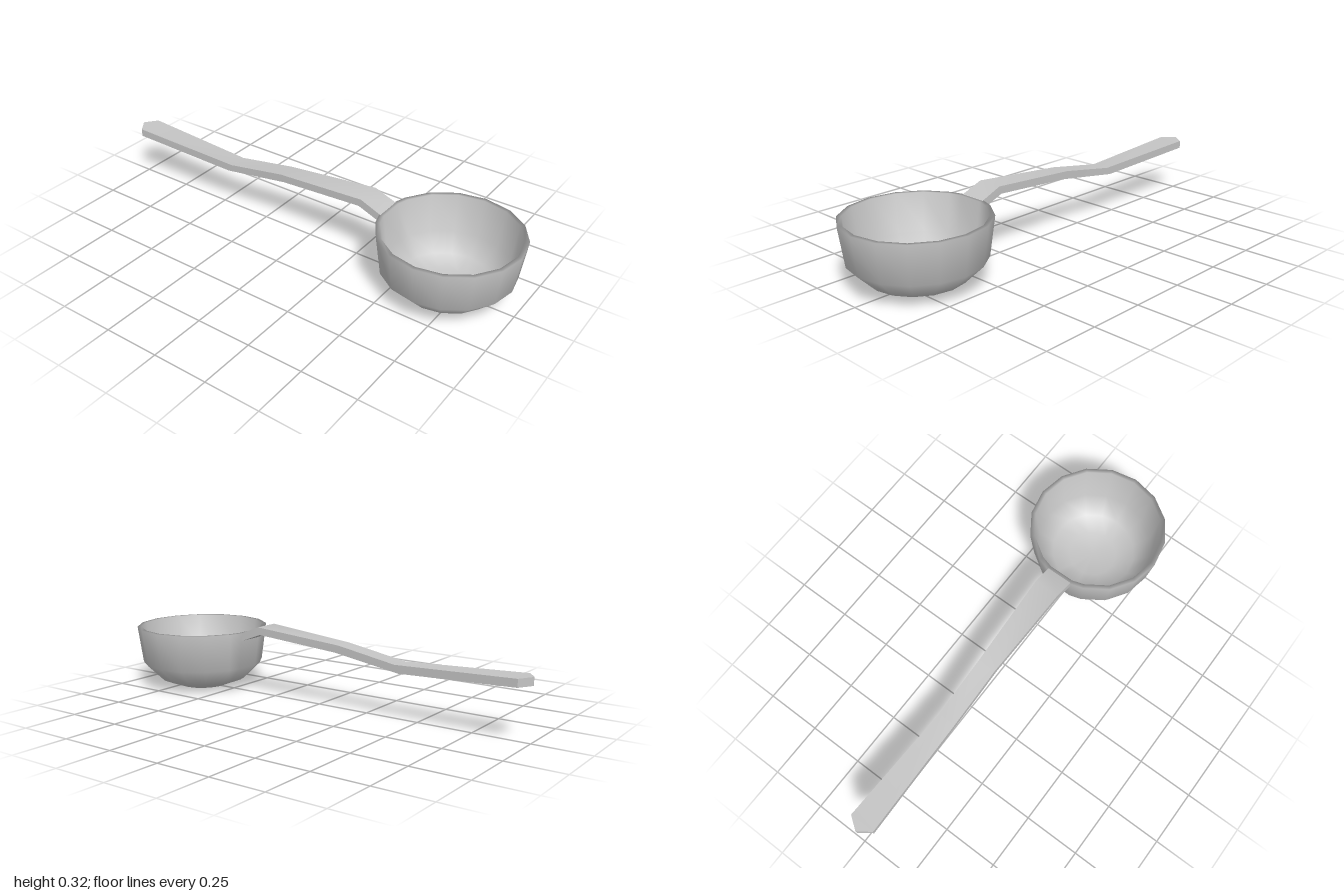
import * as THREE from 'three';
import { toCreasedNormals } from 'three/addons/utils/BufferGeometryUtils.js';

const BOWL_X = 0.693;

// Joins equal-sized closed loops of points into a skin.
function loft(loops, capped) {
  const n = loops[0].length;
  const index = [];
  for (let i = 0; i < loops.length - 1; i++) {
    for (let j = 0; j < n; j++) {
      const a = i * n + j, d = i * n + (j + 1) % n;
      index.push(a, a + n, d + n, a, d + n, d);
    }
  }
  if (capped) {
    const e = (loops.length - 1) * n;
    for (let j = 1; j < n - 1; j++) index.push(0, j, j + 1, e, e + j + 1, e + j);
  }
  const geometry = new THREE.BufferGeometry();
  geometry.setAttribute('position', new THREE.Float32BufferAttribute(loops.flat(2), 3));
  geometry.setIndex(index);
  geometry.computeVertexNormals();
  return geometry;
}

// Sixteen-sided bowl whose corner at the handle is split into two.
function bowlGeometry() {
  const angles = [];
  for (let i = 0; i < 16; i++) {
    const a = i * Math.PI / 8;
    if (i === 8) angles.push(a - 0.2, a + 0.2);
    else angles.push(a);
  }
  // radius, height: outside from the base up, over the rim, down the inside
  const profile = [
    [0, 0], [0.115, 0], [0.203, 0.034], [0.284, 0.114], [0.307, 0.285],
    [0.287, 0.285], [0.264, 0.12], [0.192, 0.052], [0.11, 0.02], [0, 0.02],
  ];
  return loft(profile.map(([r, y]) =>
    angles.map(a => [BOWL_X + r * Math.cos(a), y, r * Math.sin(a)])), false);
}

// Bent bar with a pointed end, narrowing in the middle.
function handleGeometry() {
  // x on top, top height, x below, bottom height, half width
  const stations = [
    [-1, 0.265, -1, 0.23, 0.002],
    [-0.96, 0.263, -0.96, 0.228, 0.058],
    [-0.41, 0.241, -0.43, 0.206, 0.042],
    [-0.13, 0.288, -0.11, 0.255, 0.042],
    [0.3, 0.323, 0.29, 0.289, 0.058],
    [0.4, 0.284, 0.4, 0.248, 0.06],
  ];
  const loops = stations.map(([xt, yt, xb, yb, w]) =>
    [[xt, yt, w], [xt, yt, -w], [xb, yb, -w], [xb, yb, w]]);
  return toCreasedNormals(loft(loops, true), 0.55);
}

export function createModel() {
  const metal = new THREE.MeshStandardMaterial({ color: 0xc4c4c4 });
  metal.name = 'greyMetal';

  const model = new THREE.Group();
  model.name = 'ladle';
  const add = (name, geometry) => {
    const mesh = new THREE.Mesh(geometry, metal);
    mesh.name = name;
    model.add(mesh);
  };
  add('bowl', bowlGeometry());
  add('handle', handleGeometry());
  return model;
}
